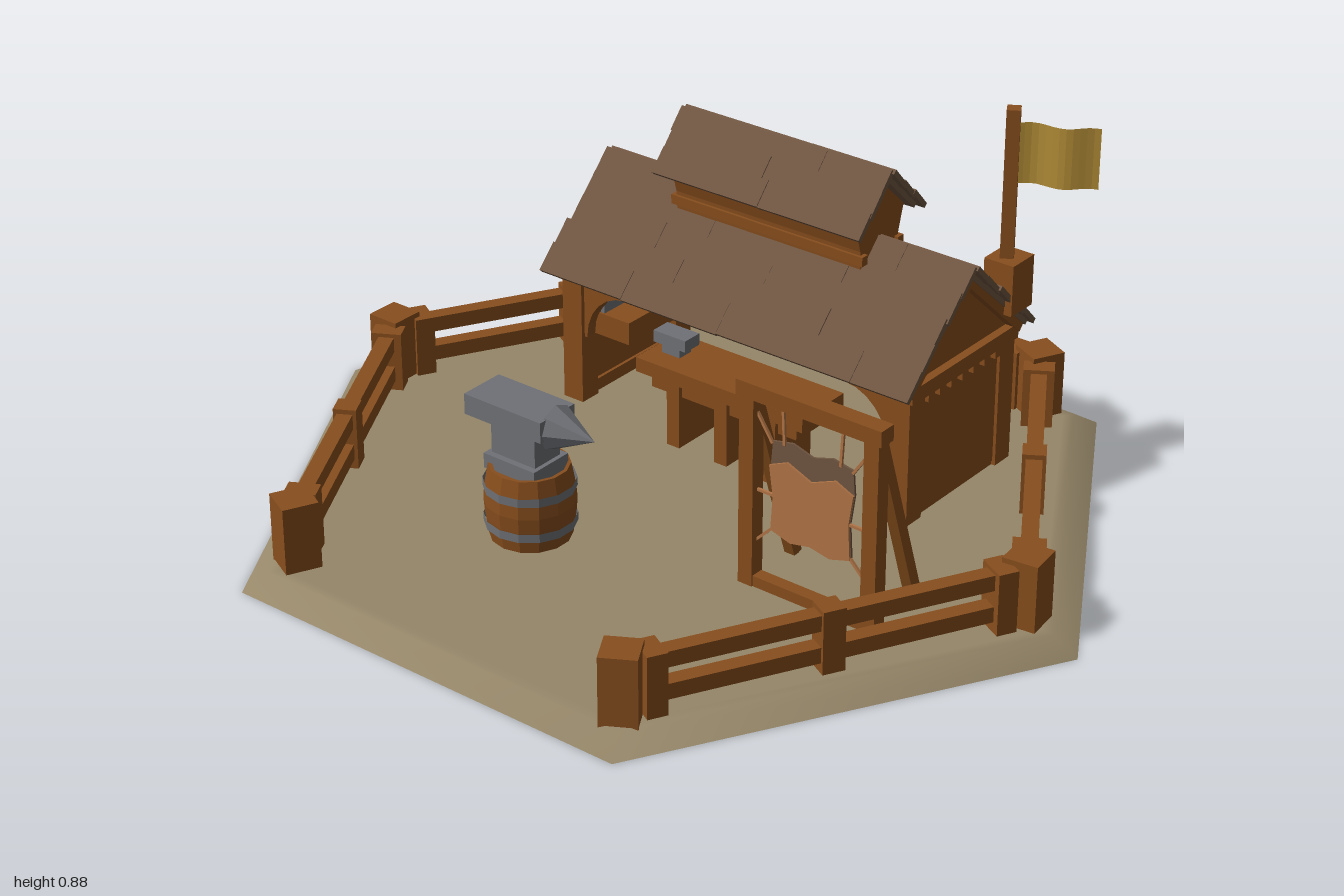
import * as THREE from 'three';

const mat = (name, color, flatShading = true) => {
  const m = new THREE.MeshStandardMaterial({ color, flatShading, side: THREE.DoubleSide });
  m.name = name;
  return m;
};

export function createModel() {
  const M = {
    ground: mat('ground', 0x968769, false),
    wood: mat('wood', 0x884e1d),
    roof: mat('roofPlanks', 0x6f5541),
    metal: mat('metal', 0x6f7176),
    hide: mat('hide', 0xb07446),
    flag: mat('flagCloth', 0xc0983c),
  };
  const root = new THREE.Group();
  root.name = 'blacksmithYard';
  const G = 0.035; // ground level
  const F = 0.022; // foot level, just under the ground shell
  let seed = 7;
  const rnd = () => (seed = (seed * 16807) % 2147483647) / 2147483647;

  const group = (name, parent, x = 0, y = 0, z = 0, ry = 0) => {
    const g = new THREE.Group();
    g.name = name;
    g.position.set(x, y, z);
    g.rotation.y = ry;
    parent.add(g);
    return g;
  };
  const add = (name, parent, geo, m, x = 0, y = 0, z = 0) => {
    const mesh = new THREE.Mesh(geo, m);
    mesh.name = name;
    mesh.position.set(x, y, z);
    parent.add(mesh);
    return mesh;
  };
  const box = (name, parent, m, w, h, d, x, y, z) =>
    add(name, parent, new THREE.BoxGeometry(w, h, d), m, x, y, z);
  // upright standing in the ground, given by its top height
  const upright = (name, parent, w, d, top, x, z) =>
    box(name, parent, M.wood, w, top - F, d, x, (top + F) / 2, z);
  // square beam running between two points
  const beam = (name, parent, m, a, b, w, h) => {
    const p = new THREE.Vector3(...a), q = new THREE.Vector3(...b);
    const mesh = add(name, parent, new THREE.BoxGeometry(w, h, p.distanceTo(q)), m);
    mesh.position.copy(p).lerp(q, 0.5);
    mesh.rotation.order = 'YXZ';
    mesh.rotation.y = Math.atan2(q.x - p.x, q.z - p.z);
    mesh.rotation.x = -Math.asin((q.y - p.y) / p.distanceTo(q));
    return mesh;
  };
  const plate = (pts, depth) => {
    const g = new THREE.ExtrudeGeometry(new THREE.Shape(pts.map(p => new THREE.Vector2(...p))), { depth, bevelEnabled: false });
    return g.translate(0, 0, -depth / 2);
  };
  const lathe = (pts, n) => new THREE.LatheGeometry(pts.map(p => new THREE.Vector2(...p)), n);

  // hexagonal ground shell with sloped rim, open underneath
  add('ground', root, lathe([[1, 0], [0.94, G], [0.91, G], [0, G]], 6), M.ground);

  // fence: five sides, the front left side stays open
  const fence = group('fence', root);
  const corners = [[0, 0.885], [0.755, 0.42], [0.73, -0.48], [0, -0.885], [-0.75, -0.44], [-0.765, 0.42]];
  corners.forEach(([x, z], i) => {
    const post = upright('cornerPost', fence, 0.08, 0.08, 0.19, x, z);
    post.rotation.y = Math.atan2(x, z) + 0.1 * (i % 2);
    if (i === 5) return;
    const [x2, z2] = corners[i + 1];
    const len = Math.hypot(x2 - x, z2 - z), ry = Math.atan2(x2 - x, z2 - z);
    const side = group('fenceSide', fence, (x + x2) / 2, 0, (z + z2) / 2, ry);
    for (const s of [-1, 1]) upright('endPost', side, 0.07, 0.045, 0.178, 0, s * (len / 2 - 0.062));
    upright('middlePost', side, 0.052, 0.05, 0.18, 0, 0);
    for (const y of [0.077, 0.151]) box('rail', side, M.wood, 0.036, 0.036, len - 0.1, 0, y, 0);
  });

  // plank roof with two slopes, overlapping rows
  const plankRoof = (name, parent, len, half, ridge, eave, rows) => {
    const roof = group(name, parent);
    const slope = Math.hypot(half, ridge - eave), ang = Math.atan2(ridge - eave, half);
    for (const s of [-1, 1]) {
      const face = group('roofSlope', roof, 0, ridge - 0.012, 0, s > 0 ? 0 : Math.PI);
      const tilt = group('slopeTilt', face);
      tilt.rotation.x = ang;
      box('underlay', tilt, M.roof, len - 0.03, 0.012, slope - 0.01, 0, -0.01, slope / 2 - 0.005);
      const step = slope / rows;
      for (let r = 0; r < rows; r++) {
        let x = -len / 2 + rnd() * 0.01;
        const end = len / 2 - rnd() * 0.01;
        while (x < end - 0.01) {
          let w = 0.22 + rnd() * 0.2;
          if (end - x - w < 0.12) w = end - x;
          const p = box('roofPlank', tilt, M.roof, w - 0.001, 0.012, step + 0.008 + rnd() * 0.006,
            x + w / 2, 0.002 + rnd() * 0.002, (r + 0.5) * step);
          p.rotation.x = 0.08;
          x += w;
        }
      }
    }
  };

  // smithy building
  const hut = group('smithy', root, 0.167, 0, -0.32, -Math.PI / 6);
  plankRoof('mainRoof', hut, 1.01, 0.237, 0.585, 0.375, 5);
  for (const s of [-1, 1]) {
    const end = group('endWall', hut, s * 0.45, 0, 0, s * Math.PI / 2);
    for (const e of [-1, 1]) {
      upright('cornerPost', end, 0.055, 0.055, 0.365, e * 0.17, 0);
      beam('rafter', end, M.wood, [e * 0.21, 0.358, 0.025], [0, 0.55, 0.025], 0.025, 0.03);
    }
    box('wallPanel', end, M.wood, 0.3, 0.3, 0.03, 0, G + 0.16, 0.005);
    box('tieBeam', end, M.wood, 0.4, 0.035, 0.06, 0, 0.35, 0.005);
    for (let i = -3; i <= 3; i++) box('beamPeg', end, M.wood, 0.02, 0.022, 0.025, i * 0.042, 0.324, 0.02);
    upright('sill', end, 0.36, 0.035, 0.065, 0, 0);
    add('gable', end, plate([[-0.2, 0.365], [0.2, 0.365], [0, 0.55]], 0.03), M.wood);

    // open long side: header and curved braces
    const bay = group('openSide', hut, 0, 0, s * 0.17);
    box('headerBeam', bay, M.wood, 0.9, 0.035, 0.045, 0, 0.35, 0);
    for (const e of [-1, 1]) {
      const pts = [[e * 0.43, 0.335], [e * 0.43, 0.2]];
      for (let k = 0; k <= 6; k++) {
        const a = k / 6 * Math.PI / 2;
        pts.push([e * (0.3 + 0.115 * Math.cos(a)), 0.2 + 0.125 * Math.sin(a)]);
      }
      pts.push([e * 0.3, 0.335]);
      add('curvedBrace', bay, plate(pts, 0.035), M.wood);
    }
  }

  // raised upper roof
  const louver = group('upperRoof', hut);
  const body = plate([[-0.065, 0.5], [0.065, 0.5], [0.07, 0.57], [0.09, 0.638], [0, 0.72], [-0.09, 0.638], [-0.07, 0.57]], 0.5);
  add('upperBody', louver, body.rotateY(Math.PI / 2), M.wood);
  for (const s of [-1, 1]) box('upperSill', louver, M.wood, 0.52, 0.022, 0.02, 0, 0.55, s * 0.066);
  plankRoof('upperRoofPlanks', louver, 0.575, 0.113, 0.745, 0.637, 3);

  // counter with three legs and a vise
  const counter = group('counter', hut, 0, 0, 0.165);
  box('counterTop', counter, M.wood, 0.46, 0.035, 0.15, 0, 0.214, 0);
  box('counterApron', counter, M.wood, 0.4, 0.04, 0.11, 0, 0.18, 0);
  for (const x of [-0.133, 0, 0.133]) upright('counterLeg', counter, 0.035, 0.13, 0.2, x, 0);
  box('viseBase', counter, M.metal, 0.05, 0.025, 0.04, -0.175, 0.243, 0);
  box('viseJaw', counter, M.metal, 0.09, 0.028, 0.05, -0.175, 0.268, 0);

  // shelf with metal sheet on the inside of one end wall
  box('wallShelf', hut, M.wood, 0.12, 0.055, 0.32, -0.375, 0.228, 0);
  const sheet = plate([[-0.155, 0.25], [0.155, 0.25], [0.155, 0.29], [0.13, 0.325], [-0.13, 0.325], [-0.155, 0.29]], 0.02);
  add('metalSheet', hut, sheet.rotateY(Math.PI / 2), M.metal, -0.4, 0, 0);

  // small hanging hide
  const small = plate([[-0.05, 0.335], [0.05, 0.335], [0.053, 0.268], [0.03, 0.27], [0.018, 0.25], [0, 0.27], [-0.02, 0.25], [-0.035, 0.27], [-0.053, 0.266]], 0.008);
  add('hangingHide', hut, small, M.hide, -0.083, 0, 0);

  // flag on a boxed pole
  const flag = group('flag', root, 0.66, 0, -0.235);
  box('flagBase', flag, M.wood, 0.075, 0.12, 0.08, 0, 0.475, 0).rotation.y = -Math.PI / 6;
  box('flagPole', flag, M.wood, 0.03, 0.4, 0.03, -0.005, 0.68, 0);
  const cloth = new THREE.PlaneGeometry(0.175, 0.14, 12, 3).translate(0.0925, 0.77, 0);
  const cp = cloth.attributes.position;
  for (let i = 0; i < cp.count; i++) {
    const t = (cp.getX(i) - 0.005) / 0.175;
    cp.setY(i, cp.getY(i) + 0.006 - 0.012 * t + 0.002 * Math.sin(t * 9));
    cp.setZ(i, -0.012 * t - 0.006 * Math.sin(t * 8));
  }
  add('flagCloth', flag, cloth, M.flag);

  // barrel with anvil
  const stand = group('anvilStand', root, -0.305, 0, 0.225, -Math.PI / 6);
  const profile = [[0.088, F - G], [0.097, 0.05], [0.1, 0.085], [0.097, 0.12], [0.088, 0.17], [0.08, 0.17], [0.08, 0.155], [0, 0.155]];
  add('barrel', stand, lathe(profile, 14), M.wood, 0, G, 0);
  for (const y of [0.04, 0.125])
    add('barrelHoop', stand, new THREE.CylinderGeometry(0.1005, 0.1005, 0.02, 14, 1, true), M.metal, 0, G + y, 0);
  box('anvilFoot', stand, M.metal, 0.14, 0.035, 0.11, -0.01, 0.206, 0);
  box('anvilWaist', stand, M.metal, 0.12, 0.09, 0.08, -0.01, 0.26, 0);
  box('anvilTop', stand, M.metal, 0.21, 0.048, 0.11, -0.025, 0.324, 0);
  const horn = add('anvilHorn', stand, new THREE.ConeGeometry(0.052, 0.105, 8), M.metal, 0.128, 0.315, 0);
  horn.rotation.z = -Math.PI / 2;

  // hide stretching rack: hide in front, brown fur behind and along the top
  const rack = group('hideRack', root, 0.315, 0, 0.43, -Math.PI / 6);
  box('rackTop', rack, M.wood, 0.36, 0.036, 0.042, 0, 0.492, 0);
  upright('rackSill', rack, 0.33, 0.03, 0.06, 0, 0);
  const lower = [[0.105, 0.33], [0.095, 0.26], [0.1, 0.18], [0.05, 0.165], [0, 0.175], [-0.05, 0.165], [-0.1, 0.18], [-0.095, 0.26], [-0.105, 0.33]];
  add('stretchedHide', rack, plate([[-0.06, 0.35], [0, 0.325], [0.06, 0.35], ...lower], 0.005), M.hide, 0, 0, 0.003);
  add('hideFur', rack, plate([[-0.1, 0.385], [-0.05, 0.395], [0, 0.38], [0.05, 0.395], [0.1, 0.385], ...lower], 0.005), M.roof, 0, 0, -0.003);
  for (const s of [-1, 1]) {
    upright('rackPost', rack, 0.036, 0.036, 0.48, s * 0.155, 0);
    beam('rackStrut', rack, M.wood, [s * 0.155, 0.46, -0.01], [s * 0.155, G, -0.15], 0.026, 0.026);
    for (const [x, y, x2, y2] of [[0.1, 0.38, 0.14, 0.44], [0.07, 0.385, 0.075, 0.48], [0.095, 0.26, 0.14, 0.26], [0.095, 0.185, 0.14, 0.14]])
      beam('cord', rack, M.hide, [s * x, y, 0], [s * x2, y2, 0], 0.006, 0.006);
  }
  return root;
}
